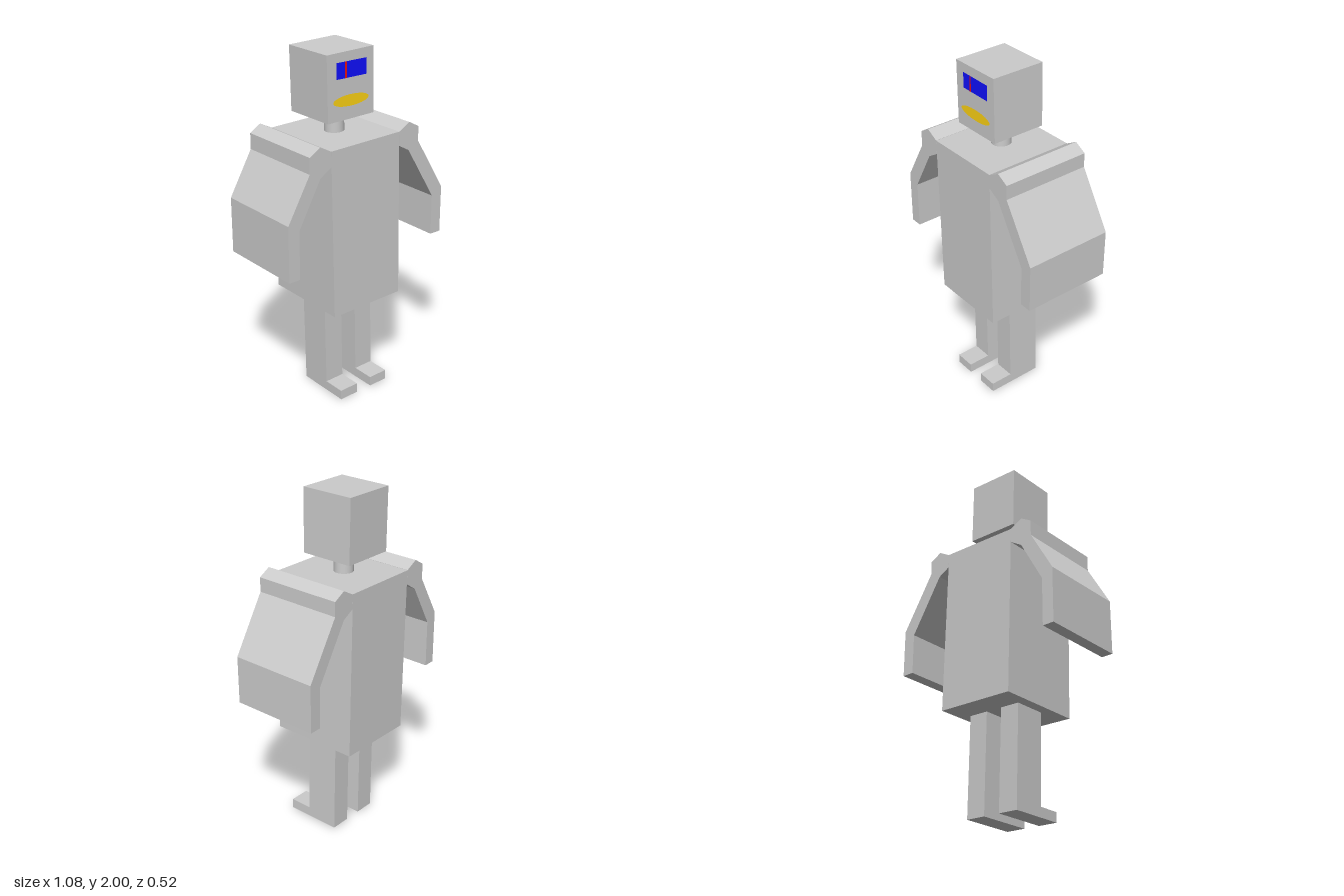
import * as THREE from 'three';

const TILT = 0.0225; // the whole trunk leans slightly to its right

export function createModel() {
  const group = new THREE.Group();
  const grey = new THREE.MeshStandardMaterial({ color: 0xcccccc });
  const paint = (color) => new THREE.MeshStandardMaterial({ color, side: THREE.DoubleSide });

  const add = (name, geometry, material, x = 0, y = 0, z = 0, tilt = 0) => {
    const mesh = new THREE.Mesh(geometry, material);
    mesh.name = name;
    mesh.position.set(x, y, z);
    mesh.rotation.z = tilt;
    group.add(mesh);
    return mesh;
  };

  // Flat outline extruded and centred along its depth
  const extrude = (points, depth) => {
    const shape = new THREE.Shape(points.map(([x, y]) => new THREE.Vector2(x, y)));
    return new THREE.ExtrudeGeometry(shape, { depth, bevelEnabled: false }).translate(0, 0, -depth / 2);
  };

  // Trunk, neck and head
  add('torso', new THREE.BoxGeometry(0.465, 0.955, 0.516), grey, -0.018, 1.057, 0, TILT);
  add('neck', new THREE.CylinderGeometry(0.055, 0.055, 0.12, 32), grey, -0.032, 1.586, -0.002, TILT);
  add('head', new THREE.BoxGeometry(0.31, 0.36, 0.313), grey, -0.045, 1.817, -0.004, TILT);

  // Face markings
  add('visor', new THREE.PlaneGeometry(0.199, 0.087), paint(0x1010ff), -0.043, 1.902, 0.155);
  add('visorStripe', new THREE.PlaneGeometry(0.011, 0.087), paint(0xf01010), -0.082, 1.902, 0.157);
  const mouth = new THREE.CircleGeometry(1, 40).scale(0.119, 0.031, 1);
  add('mouth', mouth, paint(0xffd414), -0.045, 1.738, 0.155);

  // Wide slab arms: shoulder, bent elbow, hanging forearm
  const rightArm = [
    [-0.262, 1.53], [-0.334, 1.567], [-0.4, 1.527], [-0.4, 1.437], [-0.54, 1.191],
    [-0.54, 0.874], [-0.471, 0.874], [-0.471, 1.149], [-0.333, 1.4], [-0.26, 1.447],
  ];
  const leftArm = [
    [0.204, 1.538], [0.206, 1.459], [0.275, 1.421], [0.466, 1.109], [0.466, 0.874],
    [0.537, 0.874], [0.537, 1.149], [0.344, 1.461], [0.344, 1.543], [0.275, 1.58],
  ];
  add('rightArm', extrude(rightArm, 0.516), grey);
  add('leftArm', extrude(leftArm, 0.516), grey);

  // Legs with forward feet: an L-shaped side profile (z, y)
  const legProfile = [
    [-0.103, -0.287], [0.222, -0.287], [0.222, -0.23], [0.09, -0.23], [0.09, 0.287], [-0.103, 0.287],
  ];
  const leg = extrude(legProfile, 0.118).rotateY(-Math.PI / 2);
  add('rightLeg', leg, grey, -0.1115, 0.291, 0, TILT);
  add('leftLeg', leg, grey, 0.107, 0.296, 0, TILT);

  return group;
}
